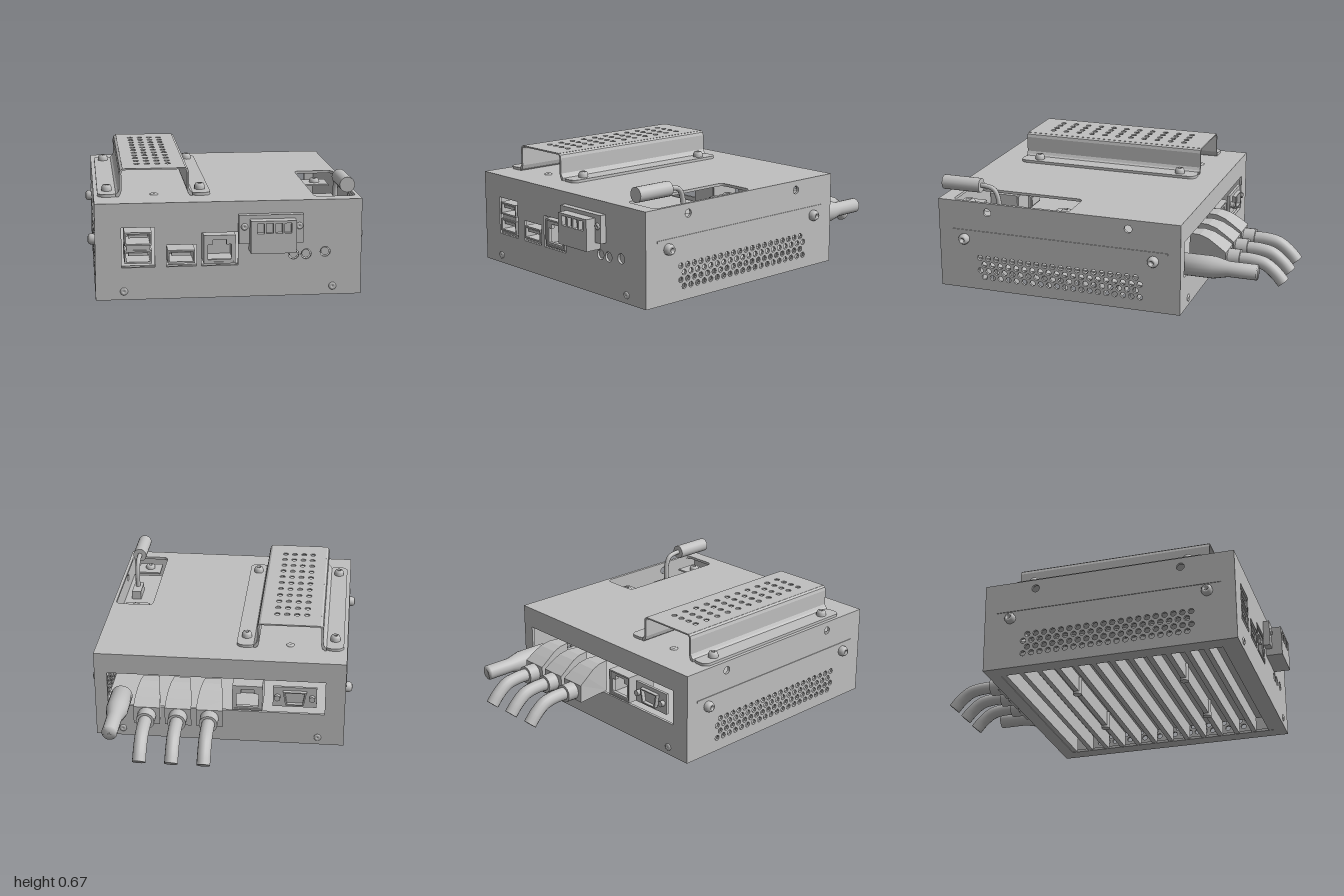
import * as THREE from 'three';

const metal = new THREE.MeshStandardMaterial({ color: 0xc0c0c0 });
metal.name = 'grey metal';

const rectPath = (x0, y0, x1, y1, P = THREE.Path) => new P([[x0, y0], [x1, y0], [x1, y1], [x0, y1]].map(p => new THREE.Vector2(...p)));
const rectShape = (...r) => rectPath(...r, THREE.Shape);
const circlePath = (x, y, r, n = 12) => new THREE.Path(Array.from({ length: n }, (_, i) =>
  new THREE.Vector2(x + r * Math.cos(i / n * Math.PI * 2), y + r * Math.sin(i / n * Math.PI * 2))));
const polygon = pts => new THREE.Shape(pts.map(p => new THREE.Vector2(...p)));
function roundRect(x0, y0, x1, y1, r) {
  const s = new THREE.Shape();
  s.absarc(x1 - r, y1 - r, r, 0, Math.PI / 2);
  s.absarc(x0 + r, y1 - r, r, Math.PI / 2, Math.PI);
  s.absarc(x0 + r, y0 + r, r, Math.PI, Math.PI * 1.5);
  s.absarc(x1 - r, y0 + r, r, Math.PI * 1.5, Math.PI * 2);
  return s;
}

export function createModel() {
  const model = new THREE.Group();
  model.name = 'industrialComputer';

  const add = (name, geo, x = 0, y = 0, z = 0, rx = 0, ry = 0) => {
    const m = new THREE.Mesh(geo, metal);
    m.name = name;
    m.position.set(x, y, z);
    m.rotation.set(rx, ry, 0);
    model.add(m);
    return m;
  };
  const box = (name, x0, x1, y0, y1, z0, z1) =>
    add(name, new THREE.BoxGeometry(x1 - x0, y1 - y0, z1 - z0), (x0 + x1) / 2, (y0 + y1) / 2, (z0 + z1) / 2);
  const sheet = (shape, depth, holes = []) => {
    shape.holes.push(...holes);
    return new THREE.ExtrudeGeometry(shape, { depth, bevelEnabled: false, curveSegments: 8 });
  };
  // Domed screw whose head points along dir
  const screw = (name, x, y, z, dir, r = 0.028, h = 0.035) => {
    const pts = [[r, 0], [r, h * 0.5], [r * 0.75, h * 0.9], [r * 0.4, h], [r * 0.35, h * 0.55], [0, h * 0.55]];
    const m = add(name, new THREE.LatheGeometry(pts.map(p => new THREE.Vector2(...p)), 14), x, y, z);
    m.quaternion.setFromUnitVectors(new THREE.Vector3(0, 1, 0), new THREE.Vector3(...dir));
  };

  // Front panel with connector openings
  add('frontPanel', sheet(rectShape(-0.69, 0.01, 0.69, 0.515), 0.015, [
    rectPath(-0.555, 0.18, -0.385, 0.39), rectPath(-0.325, 0.18, -0.17, 0.295), rectPath(-0.145, 0.18, 0.045, 0.355),
    circlePath(0.335, 0.23, 0.027), circlePath(0.4, 0.23, 0.027), circlePath(0.5, 0.24, 0.027)]), 0, 0, 0.885);
  for (const x of [0.335, 0.4, 0.5])
    add('indicatorLight', new THREE.CylinderGeometry(0.022, 0.022, 0.04, 12), x, x > 0.45 ? 0.24 : 0.23, 0.87, Math.PI / 2);

  // Back panel with a wide connector window
  add('backPanel', sheet(rectShape(-0.69, 0.01, 0.69, 0.515), 0.015, [rectPath(-0.58, 0.2, 0.62, 0.4)]), 0, 0, -0.49);
  for (const x of [-0.545, 0.54]) {
    screw('frontScrew', x, 0.055, 0.9, [0, 0, 1], 0.02, 0.008);
    screw('backScrew', x, 0.055, -0.49, [0, 0, -1], 0.02, 0.008);
  }

  // Perforated side panels, edge strips and screws
  for (const s of [-1, 1]) {
    const holes = [circlePath(0.61, 0.465, 0.022), circlePath(-0.2, 0.465, 0.022)];
    for (let row = 0; row < 4; row++)
      for (let i = 0; i < 20; i++)
        holes.push(circlePath(-0.265 + i * 0.0475 + (row % 2) * 0.0237, 0.085 + row * 0.037, 0.016, 8));
    add('sidePanel', sheet(rectShape(-0.475, 0.01, 0.885, 0.515), 0.015, holes), s > 0 ? 0.69 : -0.675, 0, 0, 0, -Math.PI / 2);
    box('sideEdgeStrip', s * 0.69 - 0.004, s * 0.69 + 0.004, 0.342, 0.353, -0.42, 0.825);
    for (const z of [-0.34, 0.75]) screw('sideScrew', s * 0.69, 0.3, z, [s, 0, 0], 0.03);
  }

  // Lid with the service pocket
  add('lid', sheet(rectShape(-0.69, -0.49, 0.69, 0.9), 0.015, [roundRect(0.455, 0.14, 0.672, 0.82, 0.03)]), 0, 0.517, 0, Math.PI / 2);
  box('pocketFloor', 0.44, 0.675, 0.37, 0.38, 0.12, 0.84);
  for (const [z0, z1, z] of [[0.13, 0.27, 0.2], [0.7, 0.83, 0.77]]) {
    box('pocketTab', 0.49, 0.63, 0.455, 0.465, z0, z1);
    screw('pocketScrew', 0.56, 0.465, z, [0, 1, 0], 0.028, 0.025);
  }
  box('aerialSocket', 0.58, 0.635, 0.38, 0.43, 0.49, 0.62);

  // Bent aerial with thick sleeve
  const stem = new THREE.CatmullRomCurve3([[0.61, 0.41, 0.575], [0.61, 0.52, 0.575], [0.61, 0.575, 0.6], [0.61, 0.59, 0.65], [0.61, 0.59, 0.7]]
    .map(p => new THREE.Vector3(...p)));
  add('aerialStem', new THREE.TubeGeometry(stem, 20, 0.014, 8), 0, 0, 0);
  add('aerialSleeve', new THREE.CylinderGeometry(0.04, 0.04, 0.22, 20), 0.61, 0.59, 0.785, Math.PI / 2);

  // Bottom frame and heat sink fins
  add('bottomFrame', sheet(rectShape(-0.69, -0.49, 0.69, 0.9), 0.015, [rectPath(-0.6, -0.42, 0.6, 0.83)]), 0, 0.025, 0, Math.PI / 2);
  box('heatSinkBase', -0.62, 0.62, 0.105, 0.125, -0.45, 0.86);
  for (let i = 0; i < 13; i++) {
    const z = -0.405 + i * 0.1017;
    box('heatSinkFin', -0.61, 0.61, 0.012, 0.11, z - 0.014, z + 0.014);
  }
  for (const x of [-0.26, 0.26])
    for (const z of [-0.1, 0.51]) add('bottomStud', new THREE.CylinderGeometry(0.025, 0.025, 0.1, 12), x, 0.05, z);
  box('circuitBoard', -0.64, 0.64, 0.17, 0.18, -0.46, 0.86);

  // Raised perforated channel on the lid, mirrored about its middle
  const cx = -0.375, z0 = -0.34, length = 1.08;
  const vents = [];
  for (let c = 0; c < 4; c++)
    for (let r = 0; r < 11; r++) vents.push(circlePath(-0.46 + c * 0.055, -0.21 + r * 0.082, 0.016, 10));
  add('channelTop', sheet(rectShape(cx - 0.165, z0, cx + 0.165, z0 + length), 0.008, vents), 0, 0.666, 0, Math.PI / 2);
  for (const s of [-1, 1]) {
    const wall = [[0.2, 0.518], [0.2, 0.532], [0.19, 0.54], [0.182, 0.555], [0.182, 0.64], [0.177, 0.657], [0.163, 0.666],
      [0.163, 0.656], [0.168, 0.65], [0.17, 0.64], [0.17, 0.55], [0.176, 0.53], [0.188, 0.518]].map(([x, y]) => [cx + s * x, y]);
    add('channelWall', sheet(polygon(wall), length), 0, 0, z0);
    const [a, b] = [cx + s * 0.19, cx + s * 0.295].sort((p, q) => p - q);
    add('channelFlange', sheet(roundRect(a, z0, b, z0 + length, 0.04), 0.016), 0, 0.532, 0, Math.PI / 2);
    for (const z of [-0.235, 0.635]) screw('channelScrew', cx + s * 0.245, 0.532, z, [0, 1, 0], 0.028, 0.033);
  }
  for (const z of [-0.29, 0.69]) screw('lidScrew', cx, 0.517, z, [0, 1, 0], 0.022, 0.008);

  // Hollow socket with a closed inner end; dir is the outward z direction
  const socket = (name, x, y, w, h, face, dir, depth = 0.18) => {
    const zBack = face - dir * depth, t = 0.009;
    add(name, sheet(rectShape(x - w / 2, y - h / 2, x + w / 2, y + h / 2), depth,
      [rectPath(x - w / 2 + t, y - h / 2 + t, x + w / 2 - t, y + h / 2 - t)]), 0, 0, Math.min(face, zBack));
    box(name + 'Back', x - w / 2 + t, x + w / 2 - t, y - h / 2 + t, y + h / 2 - t, zBack - 0.005, zBack + 0.005);
  };
  const flatSocket = (x, y) => {
    socket('dataSocket', x, y, 0.14, 0.07, 0.902, 1);
    box('dataSocketTongue', x - 0.05, x + 0.05, y + 0.004, y + 0.02, 0.73, 0.893);
  };
  flatSocket(-0.47, 0.236);
  flatSocket(-0.47, 0.33);
  box('socketSpacer', -0.53, -0.41, 0.271, 0.295, 0.75, 0.895);
  flatSocket(-0.248, 0.232);

  // Network sockets, front and back, with a stepped opening
  for (const [x, y, face, dir] of [[-0.05, 0.265, 0.9, 1], [-0.155, 0.285, -0.495, -1]]) {
    socket('networkSocket', x, y, 0.165, 0.15, face, dir);
    const mask = polygon([[-0.08, -0.072], [0.08, -0.072], [0.08, 0.072], [-0.08, 0.072]].map(p => [x + p[0], y + p[1]]));
    const step = [[-0.06, -0.055], [0.06, -0.055], [0.06, 0.025], [0.035, 0.025], [0.035, 0.05], [-0.035, 0.05], [-0.035, 0.025], [-0.06, 0.025]];
    add('networkSocketMask', sheet(mask, 0.02, [new THREE.Path(step.map(p => new THREE.Vector2(x + p[0], y + p[1])))]), 0, 0, dir > 0 ? 0.875 : -0.49);
  }

  // Terminal block plug on the front
  box('terminalBase', 0.045, 0.38, 0.3, 0.45, 0.89, 0.935);
  const slots = [0.15, 0.197, 0.244, 0.291].map(x => rectPath(x - 0.018, 0.365, x + 0.018, 0.417));
  add('terminalFace', sheet(rectShape(0.1, 0.26, 0.335, 0.43), 0.025, slots), 0, 0, 0.967);
  box('terminalBody', 0.1, 0.335, 0.26, 0.43, 0.89, 0.967);
  for (const x of [0.073, 0.357]) screw('terminalScrew', x, 0.39, 0.935, [0, 0, 1], 0.018, 0.01);

  // Serial connector on the back
  const dShape = k => polygon([[-0.065, 0.04], [-0.05, -0.04], [0.05, -0.04], [0.065, 0.04]].map(([x, y]) => [-0.415 + x * k, 0.305 + y * k]));
  box('serialPlate', -0.535, -0.295, 0.245, 0.365, -0.495, -0.48);
  add('serialShell', sheet(dShape(1), 0.03, [new THREE.Path(dShape(0.85).getPoints())]), 0, 0, -0.517);
  for (const x of [-0.51, -0.32]) add('serialPost', new THREE.CylinderGeometry(0.018, 0.018, 0.03, 6), x, 0.305, -0.503, Math.PI / 2);

  // Three video plugs with drooping cables
  for (const x of [0.035, 0.205, 0.375]) {
    const side = [[-0.46, 0.2], [-0.46, 0.38], [-0.52, 0.38], [-0.57, 0.365], [-0.62, 0.335], [-0.67, 0.3], [-0.67, 0.2]];
    const geo = sheet(polygon(side), 0.144);
    geo.translate(0, 0, -0.072);
    geo.rotateY(-Math.PI / 2);
    const p = geo.attributes.position;
    for (let i = 0; i < p.count; i++) p.setX(i, p.getX(i) * (0.62 + 0.38 * Math.min(1, (-0.46 - p.getZ(i)) / 0.18)));
    geo.computeVertexNormals();
    add('videoPlug', geo, x);
    add('videoPlugCollar', new THREE.CylinderGeometry(0.05, 0.05, 0.07, 16), x, 0.25, -0.7, Math.PI / 2);
    const curve = new THREE.CatmullRomCurve3([[-0.7, 0.25], [-0.8, 0.25], [-0.87, 0.235], [-0.93, 0.19], [-0.972, 0.143]].map(([z, y]) => new THREE.Vector3(x, y, z)));
    add('videoCable', new THREE.TubeGeometry(curve, 20, 0.036, 14), 0, 0, 0);
    const cap = add('videoCableEnd', new THREE.CircleGeometry(0.036, 14), x, 0.143, -0.972);
    cap.quaternion.setFromUnitVectors(new THREE.Vector3(0, 0, 1), curve.getTangent(1));
  }

  // Straight power plug
  const power = [[0, 0], [0.06, 0], [0.06, 0.17], [0.042, 0.25], [0.042, 0.405], [0, 0.405]].map(p => new THREE.Vector2(...p));
  add('powerPlug', new THREE.LatheGeometry(power, 20).toNonIndexed(), 0.545, 0.25, -0.465, -Math.PI / 2);

  return model;
}
